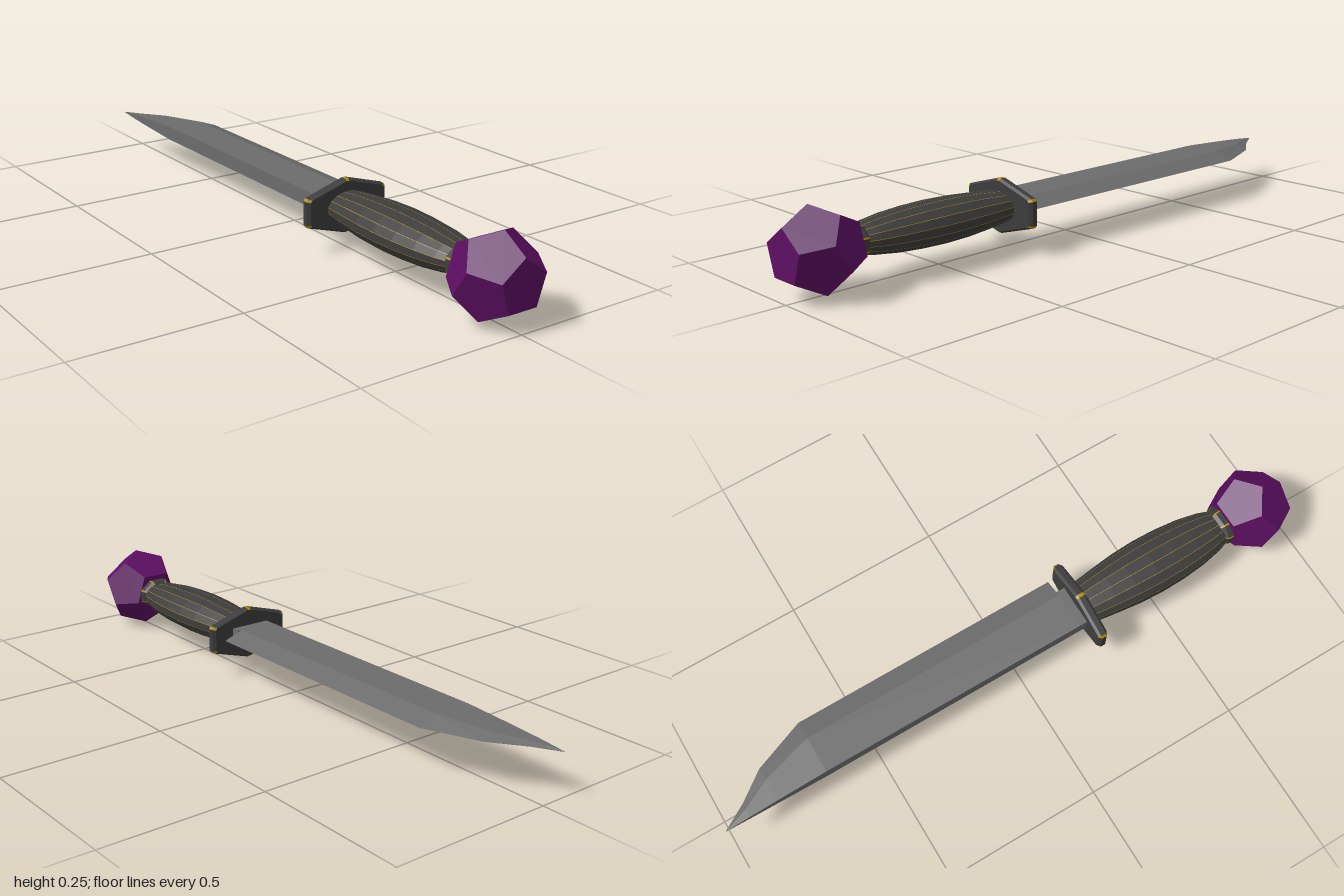
import * as THREE from 'three';

const material = (color) => new THREE.MeshStandardMaterial({ color, flatShading: true });

// Skin through rings of [x, y, z] corners (counter-clockwise from +z, rings running towards -z).
// keep(i) picks which sides are built, so trim strips can be a separate mesh.
function loft(rings, keep = () => true, caps = true) {
  const out = [];
  const n = rings[0].length;
  const tri = (a, b, c) => out.push(...a, ...b, ...c);
  for (let r = 0; r < rings.length - 1; r++) {
    const p = rings[r], q = rings[r + 1];
    for (let i = 0; i < n; i++) {
      if (!keep(i)) continue;
      const j = (i + 1) % n;
      tri(p[i], q[i], p[j]);
      tri(p[j], q[i], q[j]);
    }
  }
  if (caps) {
    const first = rings[0], last = rings[rings.length - 1];
    for (let i = 1; i < n - 1; i++) {
      tri(first[0], first[i], first[i + 1]);
      tri(last[0], last[i + 1], last[i]);
    }
  }
  const g = new THREE.BufferGeometry();
  g.setAttribute('position', new THREE.Float32BufferAttribute(out, 3));
  g.computeVertexNormals();
  return g;
}

// Cut every corner of an outline into a short side of half-width w
function cutCorners(points, w) {
  const n = points.length;
  return points.flatMap(([x, y], i) =>
    [points[(i + n - 1) % n], points[(i + 1) % n]].map(([a, b]) => {
      const d = Math.hypot(a - x, b - y);
      return [x + ((a - x) * w) / d, y + ((b - y) * w) / d];
    }));
}

const ellipse = (sides, rx, ry) => Array.from({ length: sides }, (_, i) => {
  const a = ((i + 0.5) / sides) * Math.PI * 2;
  return [rx * Math.cos(a), ry * Math.sin(a)];
});

export function createModel() {
  const knife = new THREE.Group();
  knife.name = 'knife';
  const steel = material(0x6c6c6c);
  const dark = material(0x3d3d3d);
  const gold = material(0xb08c08);
  const purple = material(0x5e0f64);

  const add = (name, geometry, mat) => {
    const mesh = new THREE.Mesh(geometry, mat);
    mesh.name = name;
    knife.add(mesh);
    return mesh;
  };
  // Dark body with gold strips along its cut corners
  const addTrimmed = (name, rings) => {
    add(name, loft(rings, (i) => i % 2 === 1), dark);
    add(name + 'Trim', loft(rings, (i) => i % 2 === 0, false), gold);
  };

  // Pommel: dodecahedron with one face to the front, point up
  const pommel = new THREE.DodecahedronGeometry(0.1295);
  pommel.rotateY(-Math.atan(2 / (1 + Math.sqrt(5))));
  pommel.rotateZ(Math.PI / 2);
  pommel.translate(0, 0, 0.897);
  add('pommel', pommel, purple);

  // Collar between pommel and grip
  addTrimmed('collar', [[0.8, 0.067, 0.052], [0.778, 0.067, 0.052], [0.766, 0.058, 0.044]]
    .map(([z, rx, ry]) => cutCorners(ellipse(8, rx, ry), 0.003).map(([x, y]) => [x, y, z])));

  // Grip: swelling oval with fine gold lines between its panels
  const gripProfile = [
    [0.775, 0.058, 0.04], [0.74, 0.071, 0.047], [0.67, 0.085, 0.056], [0.59, 0.093, 0.061],
    [0.51, 0.095, 0.063], [0.43, 0.091, 0.061], [0.36, 0.083, 0.056], [0.3, 0.075, 0.05],
    [0.265, 0.07, 0.046],
  ];
  addTrimmed('grip', gripProfile.map(([z, rx, ry]) =>
    cutCorners(ellipse(16, rx, ry), 0.0008).map(([x, y]) => [x, y, z])));

  // Guard: long hexagon with bevelled rims
  const hexagon = [[0.14, -0.042], [0.14, 0.042], [0, 0.084], [-0.14, 0.042], [-0.14, -0.042], [0, -0.084]];
  const guard = cutCorners(hexagon, 0.006);
  addTrimmed('guard', [[0.274, 0.93], [0.266, 1], [0.25, 1], [0.242, 0.93]]
    .map(([z, s]) => guard.map(([x, y]) => [x * s, y * s, z])));

  // Blade: flat spine on one side, bevelled cutting edge on the other, clipped tip
  const spine = -0.067;
  const bladeSections = [ // z, bevel start, edge, half thickness
    [0.215, 0.052, 0.115, 0.023], [-0.665, 0.052, 0.115, 0.023], [-0.83, 0.005, 0.05, 0.014],
    [-0.92, -0.04, -0.018, 0.008], [-1, -0.0665, -0.066, 0.0008],
  ];
  const blade = loft(bladeSections.map(([z, bevel, edge, t]) =>
    [[spine, -t, z], [bevel, -t, z], [edge, 0, z], [bevel, t, z], [spine, t, z]]));
  add('blade', blade, steel).position.y = 0.004;

  // Blade root running into the guard
  const root = new THREE.BoxGeometry(0.132, 0.046, 0.045);
  add('bladeRoot', root, steel).position.set(spine + 0.066, 0.004, 0.2375);

  knife.position.y = 0.127;
  const model = new THREE.Group();
  model.name = 'model';
  model.add(knife);
  return model;
}
